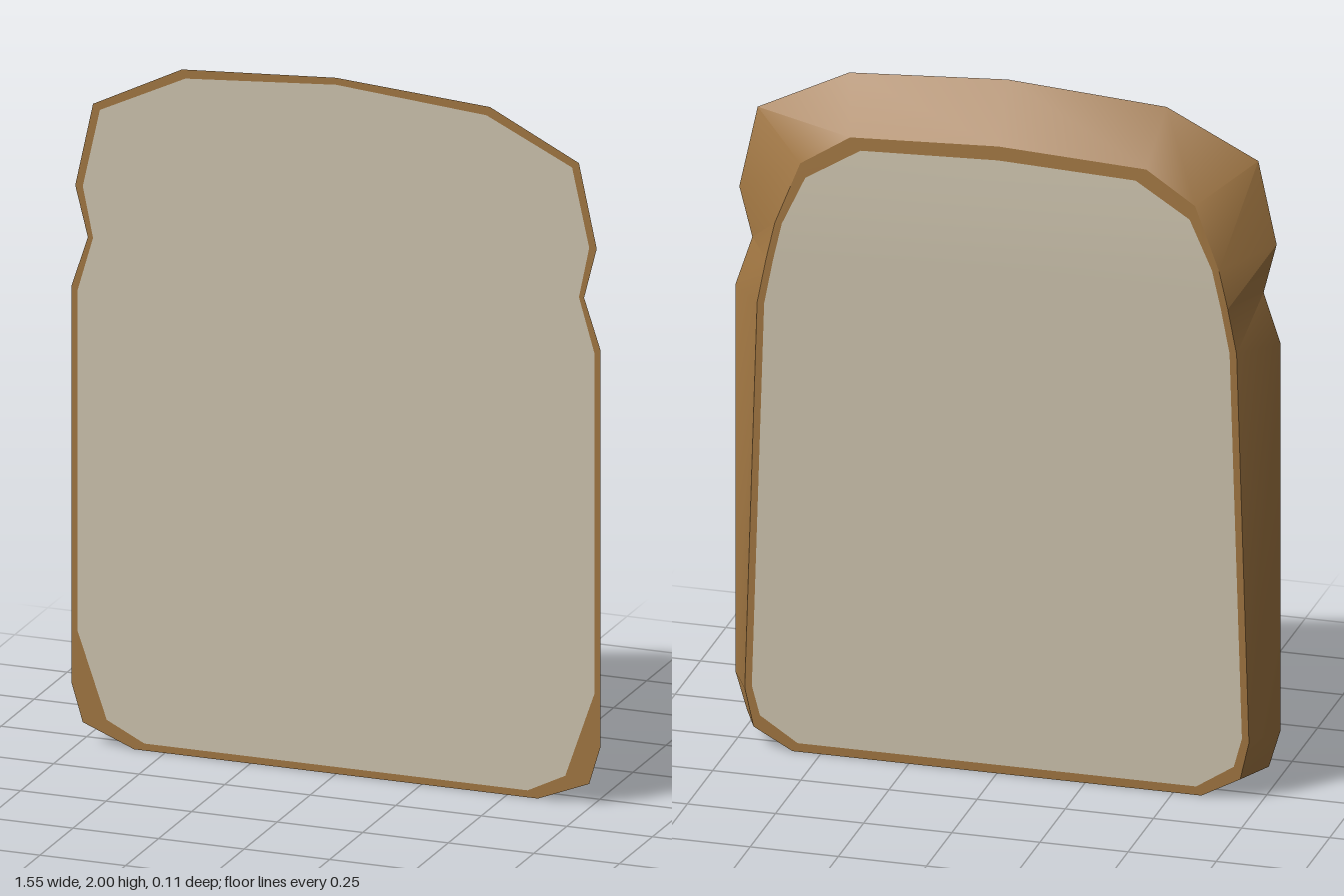
import * as THREE from 'three';
import { toCreasedNormals } from 'three/addons/utils/BufferGeometryUtils.js';

// Right-hand half outlines [x, y], from the top centre down to the base
const frontOuter = [[0, 2], [0.45, 1.97], [0.71, 1.84], [0.762, 1.6], [0.725, 1.455], [0.773, 1.31], [0.773, 0.17], [0.74, 0.06], [0.59, 0]];
const frontInner = [[0, 1.98], [0.44, 1.945], [0.69, 1.825], [0.74, 1.6], [0.71, 1.455], [0.755, 1.3], [0.755, 0.32], [0.67, 0.075], [0.56, 0.02]];
const backOuter = [[0, 1.84], [0.42, 1.82], [0.56, 1.73], [0.63, 1.55], [0.655, 1.44], [0.68, 1.31], [0.715, 0.17], [0.69, 0.06], [0.58, 0]];
const backInner = [[0, 1.8], [0.39, 1.785], [0.545, 1.69], [0.61, 1.55], [0.635, 1.44], [0.66, 1.31], [0.695, 0.18], [0.672, 0.095], [0.565, 0.025]];

const frontZ = () => 0.055;
// The back bends slightly forward near the top
const backZ = (y) => -0.055 + 0.015 * Math.max(0, (y - 1.6) / 0.24);

function toGeometry(triangles) {
  const geometry = new THREE.BufferGeometry();
  geometry.setAttribute('position', new THREE.Float32BufferAttribute(triangles.flat(2), 3));
  geometry.computeVertexNormals();
  return toCreasedNormals(geometry, 0.45);
}

// Full closed loop, clockwise seen from the front
function loop(half, z) {
  const mirrored = half.slice(1).reverse().map(([x, y]) => [-x, y]);
  return [...half, ...mirrored].map(([x, y]) => [x, y, z(y)]);
}

// Bands of quads joining successive loops
function bands(loops) {
  const triangles = [];
  for (let k = 0; k < loops.length - 1; k++) {
    const a = loops[k], b = loops[k + 1];
    for (let i = 0; i < a.length; i++) {
      const j = (i + 1) % a.length;
      triangles.push([a[i], a[j], b[i]], [a[j], b[j], b[i]]);
    }
  }
  return toGeometry(triangles);
}

// Symmetric face filled row by row between its left and right edges
function face(half, z, facesBack) {
  const triangles = [];
  for (let i = 0; i < half.length - 1; i++) {
    const [x0, y0] = half[i], [x1, y1] = half[i + 1];
    const l0 = [-x0, y0, z(y0)], r0 = [x0, y0, z(y0)];
    const l1 = [-x1, y1, z(y1)], r1 = [x1, y1, z(y1)];
    triangles.push([l0, l1, r1]);
    if (x0 > 0) triangles.push([l0, r1, r0]);
  }
  if (facesBack) triangles.forEach((t) => t.reverse());
  return toGeometry(triangles);
}

export function createModel() {
  const crustBrown = new THREE.MeshStandardMaterial({ name: 'crustBrown', color: 0xa37843 });
  const crumbCream = new THREE.MeshStandardMaterial({ name: 'crumbCream', color: 0xd0c6b0 });
  const model = new THREE.Group();
  model.name = 'breadSlice';

  const add = (name, geometry, material) => {
    const mesh = new THREE.Mesh(geometry, material);
    mesh.name = name;
    model.add(mesh);
  };

  // Crust: front rim, tapering sides and back rim
  add('crust', bands([
    loop(frontInner, frontZ), loop(frontOuter, frontZ),
    loop(backOuter, backZ), loop(backInner, backZ),
  ]), crustBrown);

  // Crumb faces
  add('frontCrumb', face(frontInner, frontZ, false), crumbCream);
  add('backCrumb', face(backInner, backZ, true), crumbCream);
  return model;
}
